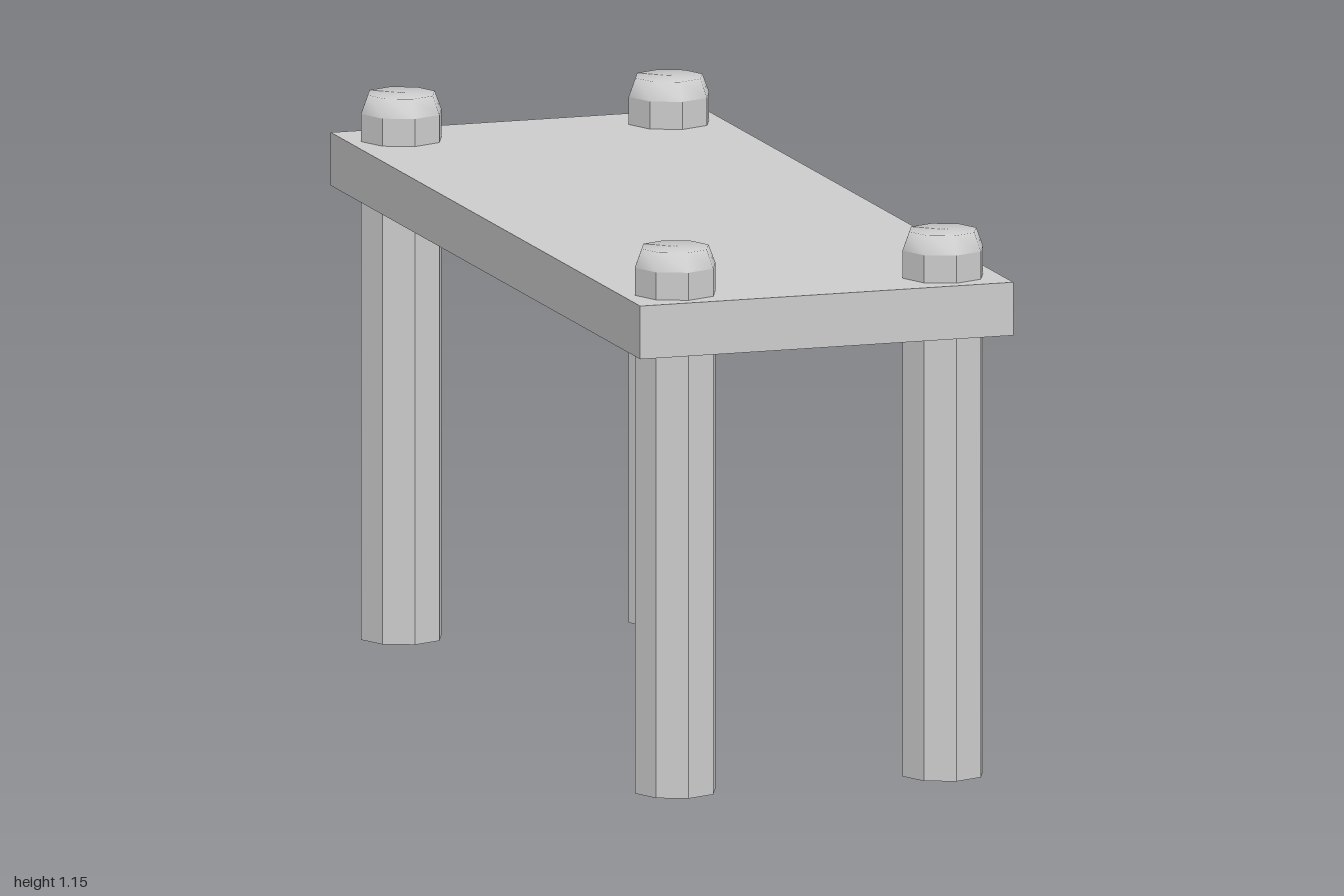
import * as THREE from 'three';

export function createModel() {
  const model = new THREE.Group();
  const flat = new THREE.MeshStandardMaterial({ color: 0xcccccc, flatShading: true });
  const smooth = new THREE.MeshStandardMaterial({ color: 0xcccccc });

  // Plank top
  const top = new THREE.Mesh(new THREE.BoxGeometry(0.814, 0.112, 2), flat);
  top.name = 'tableTop';
  top.position.y = 0.993;
  model.add(top);

  // Octagonal posts pass through the top and end in softly shaded bevelled caps
  const radius = 0.088, postHeight = 1.107, fullHeight = 1.146;
  const postGeometry = new THREE.CylinderGeometry(radius, radius, postHeight, 8);
  postGeometry.translate(0, postHeight / 2, 0);
  const capGeometry = new THREE.LatheGeometry([
    new THREE.Vector2(radius, postHeight),
    new THREE.Vector2(0.073, fullHeight),
    new THREE.Vector2(0, fullHeight),
  ], 8);

  for (const [zName, z] of [['front', 0.885], ['back', -0.885]]) {
    for (const [xName, x] of [['Left', 0.292], ['Right', -0.292]]) {
      const leg = new THREE.Group();
      leg.name = `${zName}${xName}Leg`;
      const post = new THREE.Mesh(postGeometry, flat);
      post.name = 'post';
      const cap = new THREE.Mesh(capGeometry, smooth);
      cap.name = 'cap';
      leg.add(post, cap);
      leg.position.set(x, 0, z);
      model.add(leg);
    }
  }
  return model;
}
